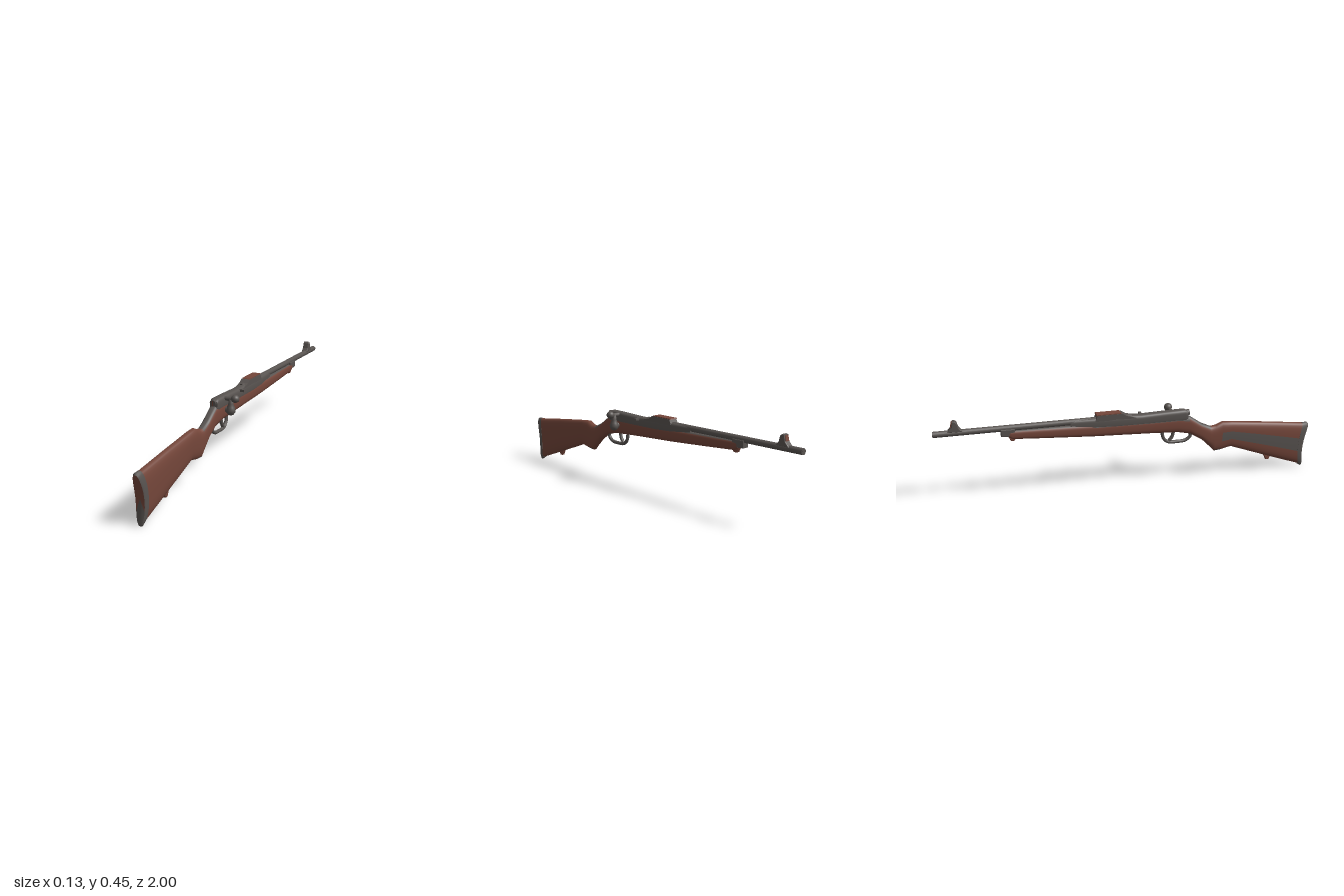
import * as THREE from 'three';

const CX = -0.037;
const wood = new THREE.MeshStandardMaterial({ color: 0x74463a });
wood.name = 'wood brown';
const metal = new THREE.MeshStandardMaterial({ color: 0x585350 });
metal.name = 'gunmetal grey';

// Loft through stations [zTop, yTop, zBottom, yBottom, halfWidth, bow], ordered from +z to -z.
// isMetal(z, angle, isCap) picks the colour of each face.
function loft(name, stations, power, isMetal, ring = 32) {
  const pos = [], faces = [[], []];
  const se = (v) => Math.sign(v) * Math.pow(Math.abs(v), 2 / power);
  const addRing = ([zt, yt, zb, yb, w, bow = 0]) => {
    for (let j = 0; j < ring; j++) {
      const a = (j / ring) * Math.PI * 2;
      const v = (1 + se(Math.sin(a))) / 2;
      pos.push(CX + w * se(Math.cos(a)), yb + (yt - yb) * v, zb + (zt - zb) * v - bow * Math.sin(Math.PI * v));
    }
  };
  stations.forEach(addRing);
  for (let i = 0; i < stations.length - 1; i++) {
    const z = (stations[i][0] + stations[i + 1][0]) / 2;
    for (let j = 0; j < ring; j++) {
      const k = (j + 1) % ring, p = i * ring, q = p + ring;
      const a = ((j + 0.5) / ring) * Math.PI * 2;
      faces[isMetal(z, a, false) ? 1 : 0].push(p + j, q + j, q + k, p + j, q + k, p + k);
    }
  }
  // End caps with their own vertices keep the rims crisp
  [[stations[0], 1], [stations[stations.length - 1], -1]].forEach(([s, dir]) => {
    const p = pos.length / 3;
    addRing(s);
    const c = pos.length / 3;
    pos.push(CX, (s[1] + s[3]) / 2, (s[0] + s[2]) / 2 - (s[5] || 0));
    for (let j = 0; j < ring; j++) {
      const k = (j + 1) % ring, a = ((j + 0.5) / ring) * Math.PI * 2;
      const tri = dir > 0 ? [c, p + j, p + k] : [c, p + k, p + j];
      faces[isMetal(s[0], a, true) ? 1 : 0].push(...tri);
    }
  });
  const geo = new THREE.BufferGeometry();
  geo.setAttribute('position', new THREE.Float32BufferAttribute(pos, 3));
  geo.setIndex([...faces[0], ...faces[1]]);
  geo.addGroup(0, faces[0].length, 0);
  geo.addGroup(faces[0].length, faces[1].length, 1);
  geo.computeVertexNormals();
  const mesh = new THREE.Mesh(geo, [wood, metal]);
  mesh.name = name;
  return mesh;
}

// Side profile of [z, y] points, extruded across x
function plate(name, points, width, mat, bevel = 0) {
  const shape = new THREE.Shape(points.map(([z, y]) => new THREE.Vector2(-z, y)));
  const geo = new THREE.ExtrudeGeometry(shape, {
    depth: width, bevelEnabled: bevel > 0, bevelSize: bevel, bevelThickness: bevel, bevelSegments: 2, bevelOffset: -bevel,
  });
  geo.translate(0, 0, -width / 2).rotateY(Math.PI / 2).translate(CX, 0, 0);
  const mesh = new THREE.Mesh(geo, mat);
  mesh.name = name;
  return mesh;
}

function part(name, geo, mat, x, y, z) {
  const mesh = new THREE.Mesh(geo, mat);
  mesh.name = name;
  mesh.position.set(x, y, z);
  return mesh;
}

function tube(name, points, radius) {
  const curve = new THREE.CatmullRomCurve3(points.map((p) => new THREE.Vector3(...p)));
  return part(name, new THREE.TubeGeometry(curve, 32, radius, 10), metal, 0, 0, 0);
}

function rod(name, radius, z0, z1, y) {
  const geo = new THREE.CylinderGeometry(radius, radius, z0 - z1, 20).rotateX(Math.PI / 2);
  return part(name, geo, metal, CX, y, (z0 + z1) / 2);
}

export function createModel() {
  const g = new THREE.Group();
  g.name = 'rifle';

  // Wooden stock from butt to fore-end, with grey upper surfaces and a grey band on the -x side
  const stockPaint = (z, a, cap) => {
    const s = Math.sin(a), right = Math.cos(a) < 0;
    if (cap) return false;
    if (z > 0.52) return right && Math.abs(s) < 0.12;
    if (z > 0.46) return s < -0.8;
    if (z > 0.42) return false;
    if (z > 0.28) return s > 0.75;
    if (right && z > -0.3) return s > 0.3;
    return s > 0.7;
  };
  g.add(loft('stock', [
    [0.98, 0.257, 0.962, 0.016, 0.0265, 0.02],
    [0.75, 0.285, 0.75, 0.092, 0.027],
    [0.55, 0.307, 0.55, 0.166, 0.027],
    [0.5, 0.311, 0.49, 0.152, 0.027],
    [0.465, 0.295, 0.455, 0.149, 0.026],
    [0.435, 0.29, 0.435, 0.172, 0.025],
    [0.38, 0.315, 0.385, 0.222, 0.025],
    [0.31, 0.364, 0.32, 0.262, 0.026],
    [0.25, 0.37, 0.25, 0.278, 0.027],
    [0.1, 0.368, 0.1, 0.287, 0.027],
    [-0.2, 0.37, -0.2, 0.301, 0.027],
    [-0.45, 0.374, -0.45, 0.317, 0.024],
    [-0.62, 0.376, -0.61, 0.328, 0.021],
    [-0.64, 0.374, -0.63, 0.338, 0.018],
  ], 2.8, stockPaint));

  // Butt plate with a wooden upper face
  g.add(loft('buttPlate', [
    [1.0, 0.252, 0.978, 0.01, 0.023, 0.02],
    [0.993, 0.26, 0.973, 0.003, 0.0272, 0.02],
    [0.965, 0.261, 0.955, 0.014, 0.0275, 0.02],
  ], 2.6, (z, a, cap) => !(cap && z > 0.99 && Math.sin(a) > -0.3)));

  // Receiver, bolt and barrel
  g.add(loft('receiver', [
    [0.3, 0.394, 0.305, 0.345, 0.021],
    [0.285, 0.402, 0.29, 0.335, 0.0255],
    [0.2, 0.401, 0.2, 0.335, 0.026],
    [0.05, 0.396, 0.05, 0.335, 0.026],
    [-0.08, 0.402, -0.08, 0.335, 0.0265],
    [-0.2, 0.4, -0.2, 0.34, 0.025],
    [-0.32, 0.397, -0.32, 0.35, 0.016],
  ], 3.2, () => true));
  g.add(rod('boltTail', 0.016, 0.312, 0.2, 0.382));
  g.add(part('boltTailMark', new THREE.BoxGeometry(0.006, 0.026, 0.004), wood, CX, 0.382, 0.312));
  g.add(rod('barrel', 0.0155, 0, -1.0, 0.387));
  g.add(rod('muzzleBore', 0.011, -0.9, -1.0005, 0.387));

  // Raised block over the chamber with a wooden top
  g.add(plate('chamberBlock', [
    [0.03, 0.385], [-0.03, 0.402], [-0.05, 0.416], [-0.18, 0.416], [-0.195, 0.385],
  ], 0.05, metal));
  g.add(plate('chamberCover', [
    [-0.055, 0.415], [-0.06, 0.42], [-0.185, 0.42], [-0.188, 0.415],
  ], 0.046, wood));
  g.add(part('ejectorTab', new THREE.BoxGeometry(0.045, 0.012, 0.014), metal, -0.012, 0.386, 0.055));

  // Bolt handle: short stem, round knob and hanging teardrop
  g.add(tube('boltStem', [[CX, 0.388, 0.22], [0, 0.387, 0.22], [0.04, 0.39, 0.22]], 0.011));
  const knob = part('boltKnob', new THREE.SphereGeometry(0.0215, 20, 14), metal, 0.0405, 0.391, 0.22);
  knob.scale.set(1, 0.95, 1);
  g.add(knob);
  const drop = [[0, 0.303], [0.013, 0.306], [0.022, 0.317], [0.0245, 0.331], [0.019, 0.346], [0.013, 0.362], [0.011, 0.39], [0, 0.392]];
  g.add(part('hangingKnob', new THREE.LatheGeometry(drop.map((p) => new THREE.Vector2(...p)), 20), metal, 0.0155, 0, 0.22));
  g.add(part('knobRoot', new THREE.SphereGeometry(0.015, 14, 10), metal, -0.006, 0.33, 0.22));

  // Trigger guard and trigger
  g.add(tube('triggerGuard', [
    [CX, 0.285, 0.315], [CX, 0.25, 0.323], [CX, 0.226, 0.295], [CX, 0.222, 0.25],
    [CX, 0.226, 0.2], [CX, 0.248, 0.175], [CX, 0.295, 0.165],
  ], 0.009));
  g.add(tube('trigger', [[CX, 0.285, 0.23], [CX, 0.255, 0.222], [CX, 0.23, 0.205]], 0.009));

  // Fore-end cap and sling loops
  g.add(plate('foreEndCap', [
    [-0.6, 0.385], [-0.6, 0.35], [-0.64, 0.345], [-0.67, 0.348], [-0.67, 0.385],
  ], 0.03, metal, 0.004));
  g.add(plate('frontSlingLoop', [
    [-0.595, 0.335], [-0.605, 0.319], [-0.622, 0.319], [-0.635, 0.345],
  ], 0.018, wood, 0.003));
  g.add(plate('rearSlingLoop', [
    [0.79, 0.09], [0.777, 0.064], [0.762, 0.064], [0.745, 0.1],
  ], 0.014, wood, 0.003));

  // Front sight with a small wooden-coloured rear face
  g.add(plate('frontSight', [
    [-0.855, 0.395], [-0.872, 0.415], [-0.88, 0.443], [-0.89, 0.451],
    [-0.902, 0.449], [-0.908, 0.42], [-0.93, 0.395],
  ], 0.026, metal, 0.004));
  g.add(plate('frontSightMark', [
    [-0.9025, 0.446], [-0.909, 0.42], [-0.912, 0.42], [-0.9055, 0.446],
  ], 0.022, wood));

  return g;
}
